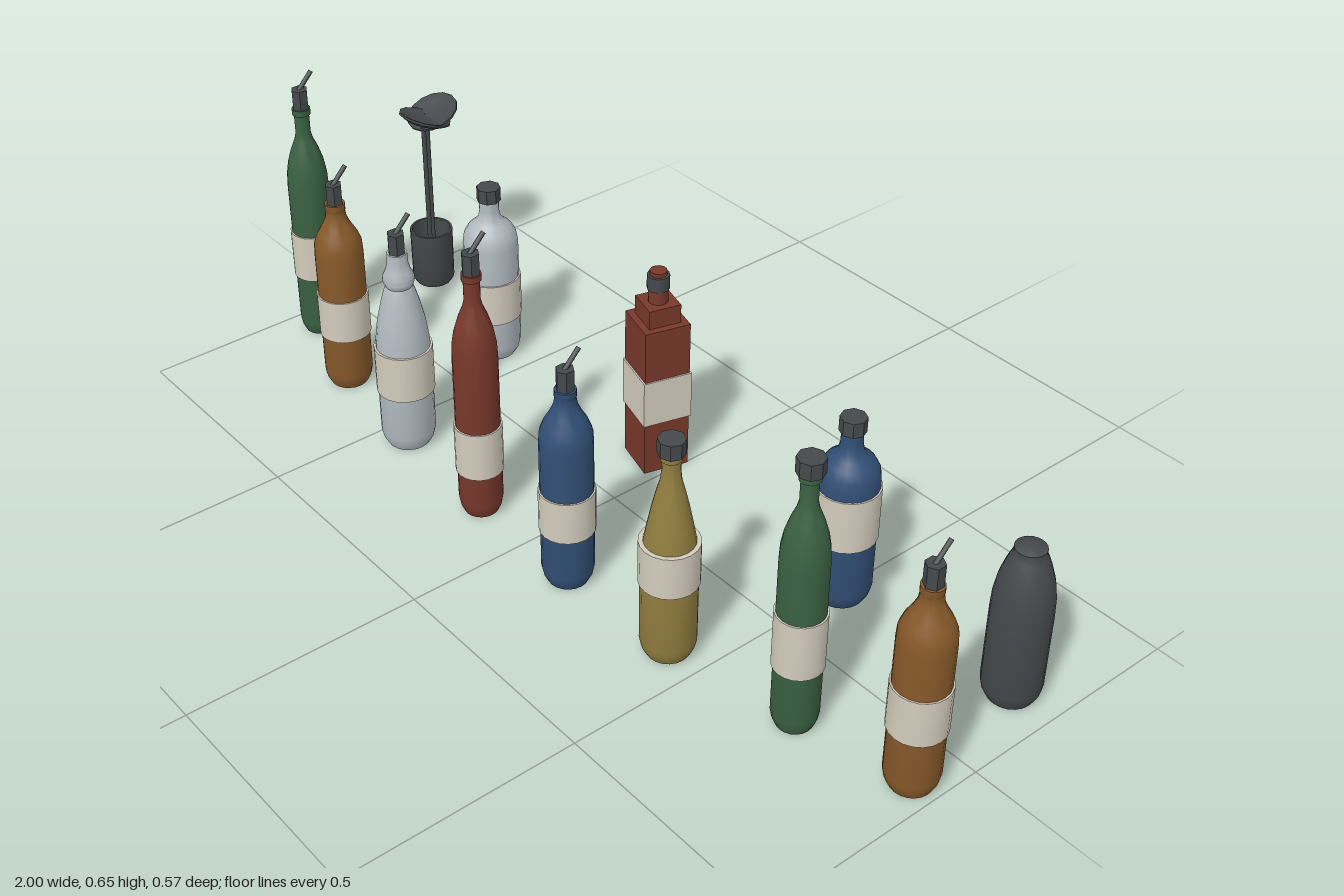
import * as THREE from 'three';
import { toCreasedNormals } from 'three/addons/utils/BufferGeometryUtils.js';

const mat = (name, color) => {
  const m = new THREE.MeshStandardMaterial({ color });
  m.name = name;
  return m;
};

export function createModel() {
  const M = {
    green: mat('green glass', 0x3a6142),
    amber: mat('amber glass', 0x87592a),
    clear: mat('clear glass', 0xb2bbc1),
    red: mat('red glass', 0x78382b),
    blue: mat('blue glass', 0x324f76),
    gold: mat('gold glass', 0x917d3f),
    label: mat('label paper', 0xd3ccbd),
    dark: mat('dark fittings', 0x45494b),
  };
  const root = new THREE.Group();
  root.name = 'bottleCollection';

  const add = (parent, name, geo, material, x = 0, y = 0, z = 0) => {
    const m = new THREE.Mesh(geo, material);
    m.name = name;
    m.position.set(x, y, z);
    parent.add(m);
    return m;
  };
  const group = (name, x, z) => {
    const g = new THREE.Group();
    g.name = name;
    g.position.set(x, 0, z);
    root.add(g);
    return g;
  };
  const lathe = (pts, seg = 20) => toCreasedNormals(
    new THREE.LatheGeometry(pts.map(([r, y]) => new THREE.Vector2(r, y)), seg), 0.6);
  // Upright cylinder between two heights
  const drum = (r, y0, y1, seg = 20) => toCreasedNormals(
    new THREE.CylinderGeometry(r, r, y1 - y0, seg).translate(0, (y0 + y1) / 2, 0), 0.6);
  // Thin rod between two points
  const rod = (a, b, r, seg = 6) => new THREE.TubeGeometry(
    new THREE.LineCurve3(new THREE.Vector3(...a), new THREE.Vector3(...b)), 1, r, seg);

  // Bottle profiles above the shared chamfered base
  const base = r => [[0, 0], [r * 0.78, 0], [r * 0.93, 0.016], [r, 0.034]];
  const shapes = {
    tall: { r: 0.0455, top: 0.564, pts: [[0.0455, 0.37], [0.044, 0.405], [0.039, 0.435],
      [0.03, 0.465], [0.02, 0.49], [0.0165, 0.505], [0.0165, 0.548], [0.02, 0.55], [0.02, 0.564], [0, 0.564]] },
    standard: { r: 0.0525, top: 0.45, pts: [[0.0525, 0.33], [0.051, 0.355], [0.043, 0.376],
      [0.031, 0.397], [0.023, 0.415], [0.0205, 0.433], [0.0215, 0.435], [0.0215, 0.45], [0, 0.45]] },
    stout: { r: 0.061, top: 0.39, pts: [[0.061, 0.285], [0.058, 0.307], [0.048, 0.325],
      [0.034, 0.337], [0.025, 0.348], [0.0215, 0.365], [0.0215, 0.39], [0, 0.39]] },
    tapered: { r: 0.055, top: 0.46, pts: [[0.055, 0.2], [0.052, 0.25], [0.043, 0.3], [0.034, 0.345],
      [0.027, 0.375], [0.02, 0.402], [0.0175, 0.425], [0.0175, 0.445], [0.02, 0.447], [0.02, 0.46], [0, 0.46]] },
    ringed: { r: 0.058, top: 0.465, pts: [[0.058, 0.21], [0.056, 0.26], [0.05, 0.305], [0.041, 0.345],
      [0.033, 0.375], [0.028, 0.388], [0.033, 0.4], [0.033, 0.41], [0.026, 0.424], [0.022, 0.44], [0.021, 0.465], [0, 0.465]] },
    plain: { r: 0.058, top: 0.347, pts: [[0.058, 0.2], [0.0565, 0.24], [0.051, 0.275], [0.042, 0.305],
      [0.034, 0.326], [0.03, 0.334], [0.03, 0.345], [0.027, 0.347], [0, 0.347]] },
  };

  // name, shape, colour, x, z, label bottom and top, stopper
  const bottles = [
    ['tallGreenBottle', 'tall', 'green', -0.93, 0.116, 0.15, 0.262, 'pourer'],
    ['leftAmberBottle', 'standard', 'amber', -0.71, 0.182, 0.13, 0.23, 'pourer'],
    ['stoutClearBottle', 'stout', 'clear', -0.6, -0.138, 0.103, 0.203, 'cap'],
    ['ringedClearBottle', 'ringed', 'clear', -0.44, 0.207, 0.135, 0.242, 'pourer'],
    ['tallRedBottle', 'tall', 'red', -0.15, 0.228, 0.104, 0.214, 'pourer'],
    ['blueBottle', 'standard', 'blue', 0.134, 0.226, 0.126, 0.22, 'pourer'],
    ['goldBottle', 'tapered', 'gold', 0.417, 0.211, 0.171, 0.264, 'cap'],
    ['stoutBlueBottle', 'stout', 'blue', 0.506, -0.152, 0.15, 0.268, 'cap'],
    ['cappedGreenBottle', 'tall', 'green', 0.706, 0.159, 0.142, 0.264, 'cap'],
    ['rightAmberBottle', 'standard', 'amber', 0.943, 0.104, 0.137, 0.237, 'pourer'],
    ['darkBottle', 'plain', 'dark', 0.903, -0.197, 0, 0, 'none'],
  ];
  for (const [name, shape, color, x, z, l0, l1, stopper] of bottles) {
    const { r, top, pts } = shapes[shape];
    const g = group(name, x, z);
    add(g, 'glassBody', lathe([...base(r), ...pts]), M[color]);
    if (l1) add(g, 'label', drum(r + 0.0035, l0, l1), M.label);
    if (stopper === 'cap') add(g, 'cap', drum(0.0265, top, top + 0.032, 8), M.dark);
    if (stopper === 'pourer') {
      add(g, 'pourerStopper', drum(0.0185, top, top + 0.045, 6), M.dark);
      add(g, 'pourerSpout', rod([0, top + 0.04, 0.003], [0, top + 0.078, -0.033], 0.0052), M.dark);
    }
  }

  // Square stepped bottle
  const sq = group('squareRedBottle', -0.0585, -0.162);
  sq.rotation.y = -0.27;
  const block = (name, w, y0, y1, m) =>
    add(sq, name, new THREE.BoxGeometry(w, y1 - y0, w), m, 0, (y0 + y1) / 2, 0);
  block('body', 0.1, 0, 0.348, M.red);
  block('shoulder', 0.07, 0.348, 0.39, M.red);
  block('label', 0.107, 0.123, 0.23, M.label);
  add(sq, 'neck', drum(0.021, 0.39, 0.42, 12), M.red);
  add(sq, 'capBand', drum(0.0235, 0.42, 0.452, 12), M.dark);
  add(sq, 'capTop', drum(0.018, 0.452, 0.461, 12), M.red);

  // Cup holding two long-handled strainers
  const cup = group('toolCup', -0.935, -0.205);
  add(cup, 'cup', lathe([[0, 0], [0.042, 0], [0.049, 0.012], [0.05, 0.14],
    [0.045, 0.14], [0.044, 0.02], [0, 0.02]]), M.dark);
  const tools = [
    { at: [-0.003, 0.434, -0.025], foot: [-0.016, 0.025, -0.015], tilt: 0.4, r: 0.061 },
    { at: [0.011, 0.435, 0.008], foot: [0.018, 0.025, 0.016], tilt: -0.33, r: 0.06 },
  ];
  for (const { at, foot, tilt, r } of tools) {
    const head = add(cup, 'strainerHead', lathe([[0, -0.009], [r * 0.7, -0.008], [r, 0.001],
      [r, 0.006], [r * 0.9, 0.006], [r * 0.7, 0.001], [0, 0]], 14), M.dark, ...at);
    head.rotation.x = tilt;
    add(cup, 'strainerHandle', rod(foot, [foot[0] * 1.2, 0.43, foot[2] * 1.2], 0.006), M.dark);
  }
  return root;
}
